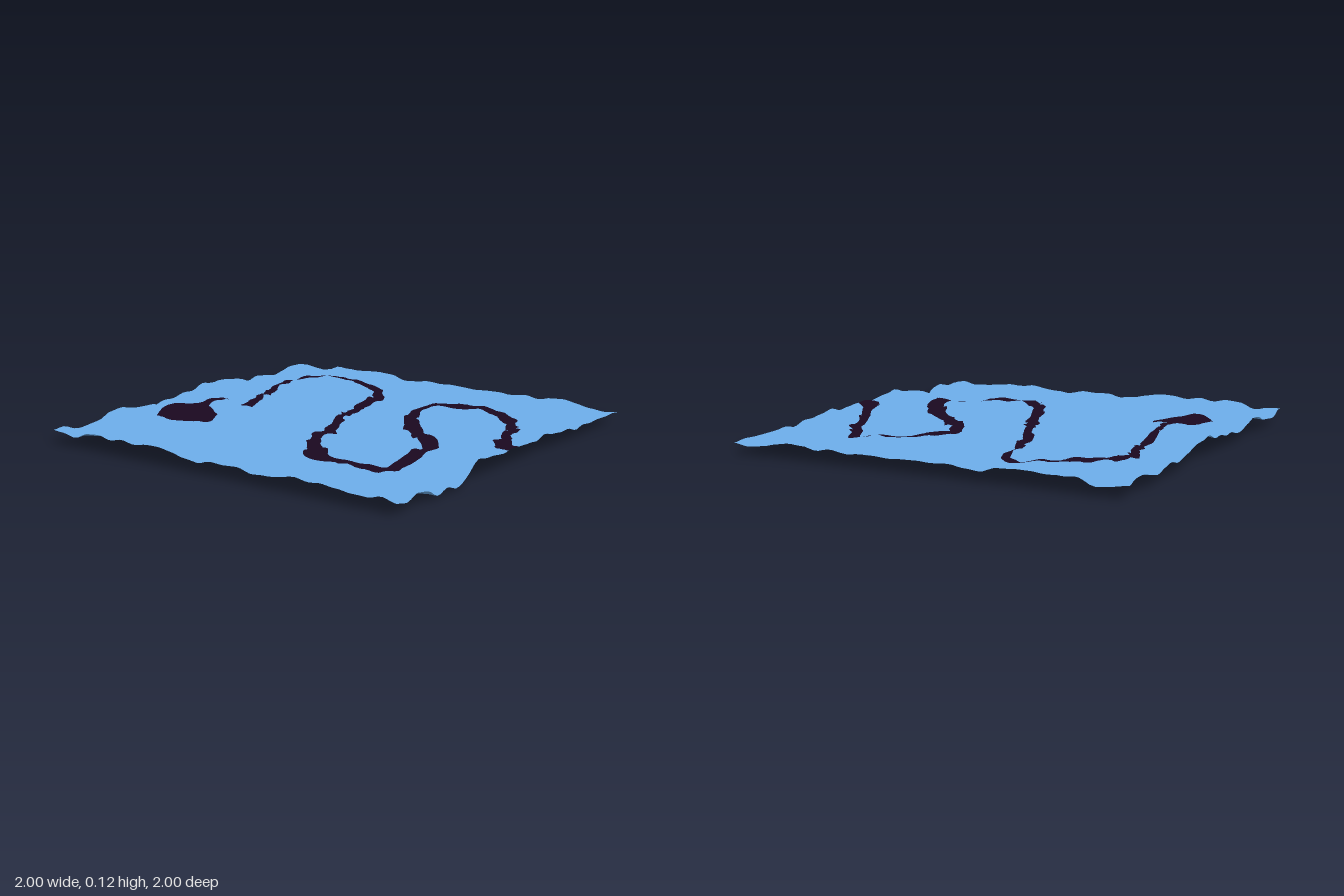
import * as THREE from 'three';
import { mergeVertices } from 'three/addons/utils/BufferGeometryUtils.js';

const N = 80; // grid cells per side
const MID = 0.062; // mean height of the sheet

// Winding stream: centre x, z and half width
const stream = [
  [-0.25, -0.72, 0.03], [-0.07, -0.685, 0.02], [0.02, -0.66, 0.036], [0.15, -0.68, 0.026],
  [0.22, -0.71, 0.024], [0.31, -0.72, 0.02], [0.44, -0.785, 0.026], [0.55, -0.76, 0.024],
  [0.64, -0.73, 0.03], [0.72, -0.65, 0.028], [0.765, -0.57, 0.024], [0.768, -0.48, 0.02],
  [0.75, -0.37, 0.026], [0.72, -0.3, 0.03], [0.64, -0.235, 0.026], [0.5, -0.205, 0.022],
  [0.38, -0.17, 0.024], [0.2, -0.12, 0.028], [0, -0.035, 0.024], [-0.17, 0.045, 0.034],
  [-0.4, 0.12, 0.026], [-0.55, 0.25, 0.05], [-0.62, 0.32, 0.045], [-0.615, 0.45, 0.03],
  [-0.6, 0.54, 0.03], [-0.52, 0.65, 0.04], [-0.4, 0.677, 0.042], [-0.25, 0.665, 0.046],
  [-0.17, 0.61, 0.04], [-0.08, 0.55, 0.04], [-0.01, 0.46, 0.045], [0.08, 0.36, 0.042],
  [0.2, 0.27, 0.036], [0.3, 0.21, 0.03], [0.4, 0.195, 0.03], [0.5, 0.215, 0.032],
  [0.57, 0.3, 0.034], [0.6, 0.42, 0.026], [0.595, 0.53, 0.03], [0.565, 0.625, 0.038],
  [0.47, 0.68, 0.026], [0.38, 0.735, 0.028], [0.2, 0.81, 0.022], [0.1, 0.86, 0.028],
  [0, 0.9, 0.042], [-0.06, 0.96, 0.048], [-0.08, 1.06, 0.05],
];
// Pool outline at the head of the stream
const pool = [
  [-0.55, -0.66], [-0.53, -0.74], [-0.45, -0.83], [-0.31, -0.85],
  [-0.26, -0.82], [-0.2, -0.71], [-0.3, -0.57], [-0.4, -0.53],
];
// Hills and hollows: x, z and height
const relief = [
  [-0.55, 0.6, 0.035], [0.15, -0.68, 0.025], [0.3, -0.15, 0.035], [0.6, 0, 0.005],
  [-0.65, 0.9, 0.015], [0.76, -0.57, 0.09], [0.57, 0.3, 0.08], [0.565, 0.625, 0.03],
  [-0.45, 0.15, 0.08], [-0.45, -0.8, 0.08], [-0.2, -0.71, 0.09], [-0.4, -0.53, 0.06],
  [-0.08, 1, 0.065], [-0.3, 0.85, 0.115], [0.15, -0.92, 0.11], [-0.61, 0.42, 0.045],
  [0.08, 0.36, 0.05], [0, -0.035, 0.045], [0.75, -0.35, 0.045], [0.1, 0.86, 0.075],
  [-0.25, 0.665, 0.06], [-1, 1, 0.06], [1, 1, 0.052], [1, -1, 0.052], [-1, -1, 0.055],
];

// Repeatable value noise, from -0.5 to 0.5
function hash(i, j) {
  const s = Math.sin(i * 127.1 + j * 311.7 + 4.2) * 43758.5453;
  return s - Math.floor(s) - 0.5;
}
function noise(x, z) {
  const i = Math.floor(x), j = Math.floor(z);
  const u = THREE.MathUtils.smoothstep(x - i, 0, 1), v = THREE.MathUtils.smoothstep(z - j, 0, 1);
  const mix = THREE.MathUtils.lerp;
  return mix(mix(hash(i, j), hash(i + 1, j), u), mix(hash(i, j + 1), hash(i + 1, j + 1), u), v);
}

// Blend of the hills and hollows, with short ripples over it
function height(x, z) {
  let sum = 0, weight = 0.12;
  relief.forEach(([px, pz, py]) => {
    const w = Math.exp(-((x - px) ** 2 + (z - pz) ** 2) / 0.02);
    sum += w * (py - MID);
    weight += w;
  });
  const ripple = 0.024 * noise(x * 6 + 20, z * 6 + 20) + 0.03 * noise(x * 13 + 50, z * 13 + 50);
  return THREE.MathUtils.clamp(MID + sum / weight + ripple, 0, 0.12);
}

// Negative inside the pool or stream, positive outside; the banks are ragged
function outside(px, pz) {
  const x = px + 0.03 * noise(px * 22 + 70, pz * 22 + 70);
  const z = pz + 0.03 * noise(px * 22 + 170, pz * 22 + 170);
  let f = -Infinity;
  pool.forEach(([ax, az], i) => {
    const [bx, bz] = pool[(i + 1) % pool.length];
    const dx = bx - ax, dz = bz - az;
    f = Math.max(f, ((x - ax) * dz - (z - az) * dx) / Math.hypot(dx, dz));
  });
  for (let i = 0; i < stream.length - 1; i++) {
    const [ax, az, aw] = stream[i], [bx, bz, bw] = stream[i + 1];
    const dx = bx - ax, dz = bz - az;
    const t = THREE.MathUtils.clamp(((x - ax) * dx + (z - az) * dz) / (dx * dx + dz * dz), 0, 1);
    f = Math.min(f, Math.hypot(x - ax - t * dx, z - az - t * dz) - aw - t * (bw - aw));
  }
  return f;
}

// Grid of points, each with its signed distance to the bank
function makeGrid() {
  const grid = [];
  for (let j = 0; j <= N; j++) {
    for (let i = 0; i <= N; i++) {
      let x = (2 * i) / N - 1, z = (2 * j) / N - 1;
      const y = height(x, z), d = outside(x, z);
      // slightly wavy border
      if (i === 0 || i === N) x *= 0.996 - 0.008 * noise(z * 9 + 30, i);
      if (j === 0 || j === N) z *= 0.996 - 0.008 * noise(x * 9 + 30, j);
      grid.push({ x, y, z, d });
    }
  }
  return grid;
}

// Keep the part of a triangle on one side of the bank
function clip(triangle, sign) {
  const kept = [];
  triangle.forEach((a, k) => {
    const b = triangle[(k + 1) % 3];
    if (a.d * sign >= 0) kept.push(a);
    if (a.d * b.d < 0) {
      const t = a.d / (a.d - b.d), mix = THREE.MathUtils.lerp;
      kept.push({ x: mix(a.x, b.x, t), y: mix(a.y, b.y, t), z: mix(a.z, b.z, t) });
    }
  });
  return kept;
}

function makeSurface(name, grid, sign, color) {
  const positions = [];
  const addTriangle = (...corners) => {
    const p = clip(corners, sign);
    for (let k = 1; k < p.length - 1; k++) {
      [p[0], p[k], p[k + 1]].forEach((c) => positions.push(c.x, c.y, c.z));
    }
  };
  for (let j = 0; j < N; j++) {
    for (let i = 0; i < N; i++) {
      const a = grid[j * (N + 1) + i], b = grid[j * (N + 1) + i + 1];
      const c = grid[(j + 1) * (N + 1) + i], d = grid[(j + 1) * (N + 1) + i + 1];
      addTriangle(a, c, b);
      addTriangle(b, c, d);
    }
  }
  const soup = new THREE.BufferGeometry();
  soup.setAttribute('position', new THREE.Float32BufferAttribute(positions, 3));
  const geometry = mergeVertices(soup, 1e-5);
  // All normals point straight up, so the relief is evenly lit
  const count = geometry.attributes.position.count;
  const normals = new Float32Array(count * 3).map((_, k) => (k % 3 === 1 ? 1 : 0));
  geometry.setAttribute('normal', new THREE.BufferAttribute(normals, 3));
  const mesh = new THREE.Mesh(geometry, new THREE.MeshStandardMaterial({ color, side: THREE.DoubleSide }));
  mesh.name = name;
  return mesh;
}

export function createModel() {
  const model = new THREE.Group();
  model.name = 'terrainSheet';
  const grid = makeGrid();
  model.add(makeSurface('ground', grid, 1, 0x6cade9));
  model.add(makeSurface('streamAndPool', grid, -1, 0x1a0820));
  return model;
}
